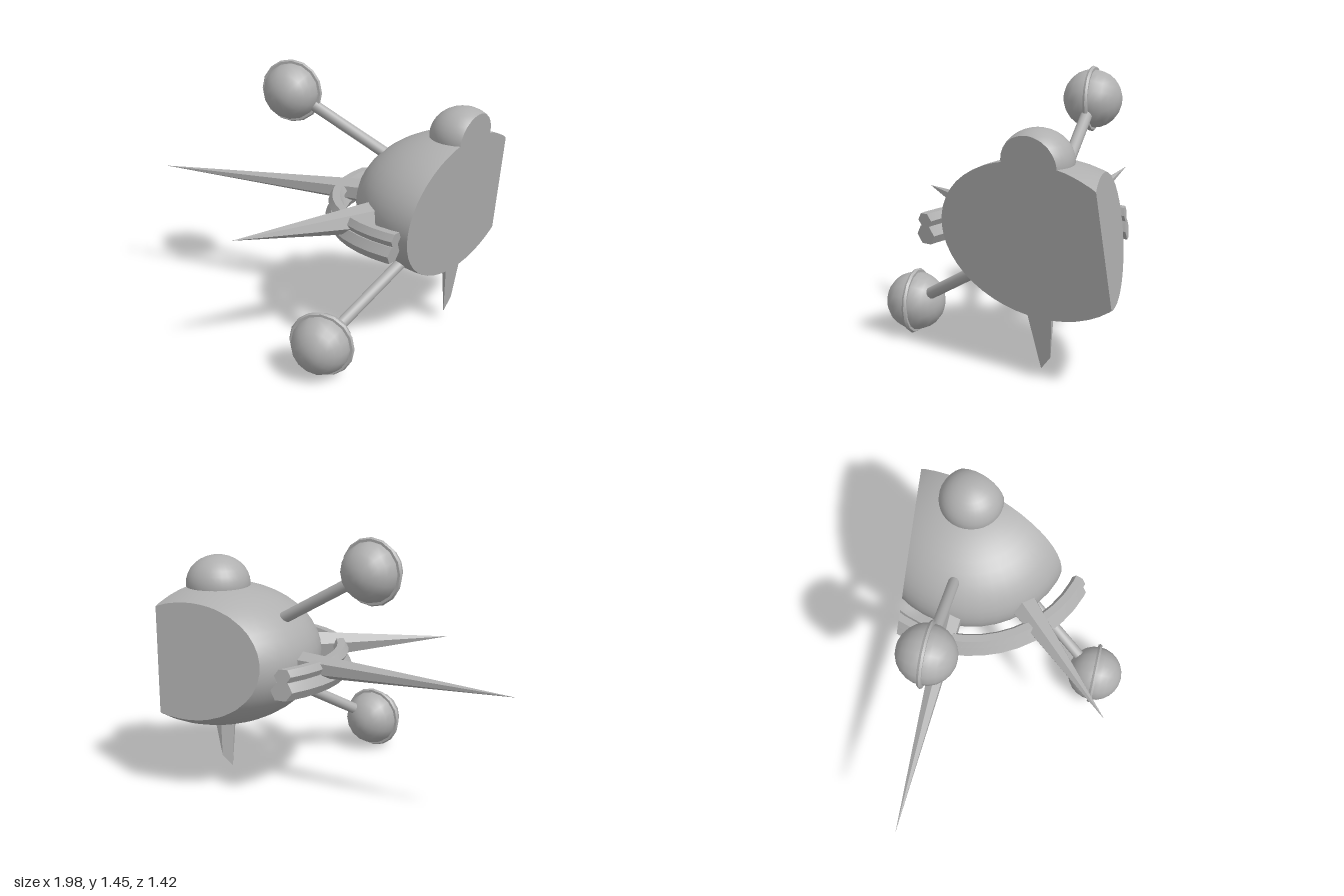
import * as THREE from 'three';
import { toCreasedNormals } from 'three/addons/utils/BufferGeometryUtils.js';

const V = (x, y, z) => new THREE.Vector3(x, y, z);
const CENTRE = V(0.82, 0.73, -0.31);

// Planes x = a + by + cz and z = d + ex + fy; the kept side is positive
const sidePlane = new THREE.Plane(V(-1, 0.136, -0.307), 0.657);
const backPlane = new THREE.Plane(V(0.1087, -0.1275, 1), 0.6645);

// Cuts a closed convex-section solid with a plane and closes the cut with a flat cap
function slice(geometry, plane) {
  const geo = geometry.index ? geometry.toNonIndexed() : geometry;
  const P = geo.attributes.position, N = geo.attributes.normal;
  const pos = [], nor = [], rim = [];
  const emit = (v) => { pos.push(...v.p.toArray()); nor.push(...v.n.toArray()); };
  for (let i = 0; i < P.count; i += 3) {
    const tri = [0, 1, 2].map((k) => {
      const p = new THREE.Vector3().fromBufferAttribute(P, i + k);
      return { p, n: new THREE.Vector3().fromBufferAttribute(N, i + k), d: plane.distanceToPoint(p) };
    });
    const poly = [];
    let leave = null, enter = null;
    tri.forEach((a, k) => {
      const b = tri[(k + 1) % 3];
      if (a.d >= 0) poly.push(a);
      if ((a.d >= 0) !== (b.d >= 0)) {
        const t = a.d / (a.d - b.d);
        const v = { p: a.p.clone().lerp(b.p, t), n: a.n.clone().lerp(b.n, t).normalize() };
        poly.push(v);
        if (a.d >= 0) leave = v.p; else enter = v.p;
      }
    });
    for (let k = 1; k + 1 < poly.length; k++) [poly[0], poly[k], poly[k + 1]].forEach(emit);
    if (leave && enter) rim.push([enter, leave]);
  }
  // Cap: a fan around the middle of the cut outline
  if (rim.length) {
    const mid = V(0, 0, 0);
    rim.forEach(([a, b]) => mid.add(a).add(b));
    mid.divideScalar(rim.length * 2);
    const n = plane.normal.clone().normalize().negate();
    rim.forEach(([a, b]) => {
      const facing = b.clone().sub(mid).cross(a.clone().sub(mid)).dot(n);
      const order = facing >= 0 ? [mid, b, a] : [mid, a, b];
      order.forEach((p) => emit({ p, n }));
    });
  }
  const out = new THREE.BufferGeometry();
  out.setAttribute('position', new THREE.Float32BufferAttribute(pos, 3));
  out.setAttribute('normal', new THREE.Float32BufferAttribute(nor, 3));
  return out;
}

// Tapered rod between two points
function rod(from, to, r0, r1, sides) {
  const dir = to.clone().sub(from), len = dir.length();
  const geo = new THREE.CylinderGeometry(r1, r0, len, sides);
  geo.rotateY(Math.PI / 6);
  geo.applyQuaternion(new THREE.Quaternion().setFromUnitVectors(V(0, 1, 0), dir.normalize()));
  const m = from.clone().add(to).multiplyScalar(0.5);
  return geo.translate(m.x, m.y, m.z);
}

export function createModel() {
  const grey = new THREE.MeshStandardMaterial({ color: 0xb0b0b0 });
  grey.name = 'plain grey';
  const model = new THREE.Group();
  model.name = 'craft';

  function add(name, geo, planes = [], crease = 0.7) {
    let g = toCreasedNormals(geo, crease);
    planes.forEach((p) => { g = slice(g, p); });
    const mesh = new THREE.Mesh(g, grey);
    mesh.name = name;
    model.add(mesh);
  }

  // Flattened round hull, cut at its side and back
  const hull = new THREE.SphereGeometry(1, 40, 24).scale(0.57, 0.4, 0.57);
  add('hull', hull.translate(CENTRE.x, CENTRE.y, CENTRE.z), [sidePlane, backPlane]);

  // Dome on top
  const dome = new THREE.SphereGeometry(1, 32, 16).scale(0.18, 0.16, 0.18);
  add('dome', dome.translate(CENTRE.x, 1.12, CENTRE.z), [sidePlane]);

  // Two stacked six-sided bands around the hull
  [['upperBand', 0.682, 0.042, 0.735], ['lowerBand', 0.685, 0.055, 0.655]].forEach(([name, R, r, y]) => {
    const band = new THREE.TorusGeometry(R, r, 6, 16, 2.2);
    band.rotateZ(1.6).rotateX(Math.PI / 2).translate(CENTRE.x, y, CENTRE.z);
    add(name, band, [sidePlane, backPlane]);
  });

  // Spikes to the side, the front corner and below
  add('sideSpike', rod(V(0.45, 0.73, -0.31), V(-0.99, 0.73, -0.31), 0.08, 0, 6));
  add('frontSpike', rod(V(0.47, 0.73, 0.04), V(-0.13, 0.73, 0.645), 0.09, 0, 6));
  add('bottomSpike', rod(V(0.82, 0.45, -0.31), V(0.82, -0.8, -0.31), 0.088, 0, 6), [sidePlane]);

  // Ringed balls on struts that aim at the hull's centre
  [['upper', V(-0.17, 1.275, -0.31)], ['lower', V(0.325, 0.183, 0.55)]].forEach(([name, c]) => {
    const ball = new THREE.SphereGeometry(0.161, 16, 12).rotateX(Math.PI / 2);
    add(name + 'Ball', ball.translate(c.x, c.y, c.z));
    const ring = new THREE.TorusGeometry(0.166, 0.014, 6, 16);
    add(name + 'Ring', ring.translate(c.x, c.y, c.z));
    add(name + 'Strut', rod(c, c.clone().lerp(CENTRE, 0.68), 0.032, 0.032, 12));
  });

  return model;
}
